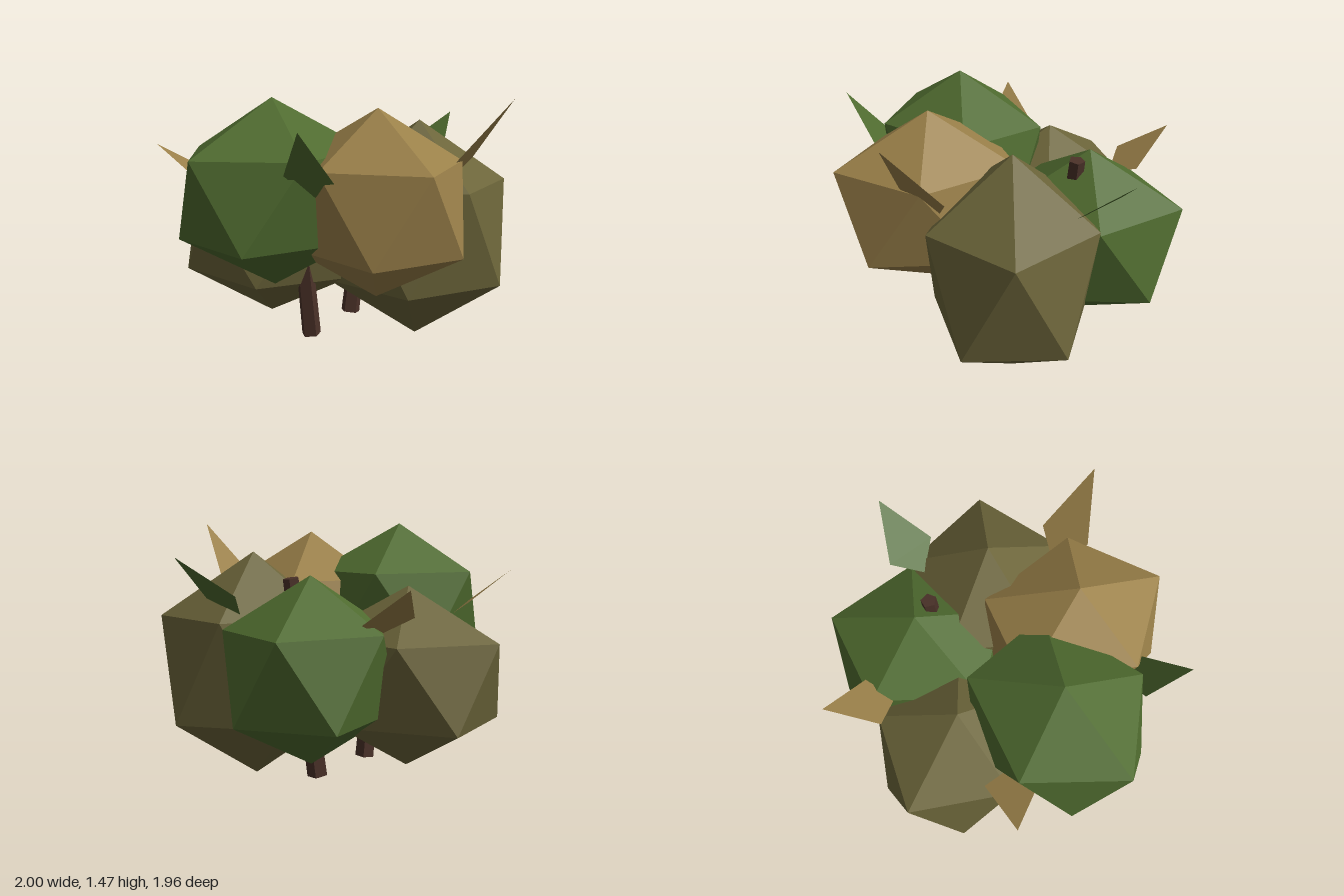
import * as THREE from 'three';

const paint = (color, extra = {}) => {
  const m = new THREE.MeshStandardMaterial({ flatShading: true, ...extra });
  m.color.set(color);
  return m;
};
const GREEN = 0x4f6b2f, OLIVE = 0x6c653a, TAN = 0x9a8049, BARK = 0x4a3128;

function flatGeometry(points, faces) {
  const g = new THREE.BufferGeometry();
  g.setAttribute('position', new THREE.Float32BufferAttribute(faces.flatMap((i) => points[i]), 3));
  g.computeVertexNormals();
  return g;
}

// Upright 20-sided clump, stretched sideways: a and b are two neighbouring
// corners (x, z) of its upper ring, and the other corners follow from them.
function clumpGeometry(h, a, b) {
  const ring = [a, b];
  const k = 2 * Math.cos((2 * Math.PI) / 5);
  for (let i = 2; i < 5; i++) ring.push([0, 1].map((c) => k * ring[i - 1][c] - ring[i - 2][c]));
  const y = h / Math.sqrt(5);
  const points = [[0, h, 0], [0, -h, 0]];
  for (const [x, z] of ring) points.push([x, y, z]);
  for (let i = 0; i < 5; i++) {
    const [x, z] = ring[(i + 3) % 5];
    points.push([-x, -y, -z]);
  }
  const faces = [];
  for (let i = 0; i < 5; i++) {
    const n = (i + 1) % 5;
    const u = 2 + i, un = 2 + n, l = 7 + i, ln = 7 + n;
    faces.push(0, u, un, u, l, un, un, l, ln, 1, ln, l);
  }
  return flatGeometry(points, faces);
}

// Flat pointed leaf: tip, two shoulders, and a base hidden in the foliage
function leafGeometry(tip, s1, s2) {
  const base = tip.map((t, i) => {
    const mid = (s1[i] + s2[i]) / 2;
    return mid - 0.45 * (t - mid);
  });
  return flatGeometry([tip, s1, base, s2], [0, 1, 3, 1, 2, 3]);
}

// Tapered five-sided stem between two points
function stem(from, to, r0, r1) {
  const a = new THREE.Vector3(...from), b = new THREE.Vector3(...to);
  const dir = b.clone().sub(a);
  const mesh = new THREE.Mesh(new THREE.CylinderGeometry(r1, r0, dir.length(), 5), paint(BARK));
  mesh.position.copy(a).add(b).multiplyScalar(0.5);
  mesh.quaternion.setFromUnitVectors(new THREE.Vector3(0, 1, 0), dir.normalize());
  return mesh;
}

export function createModel() {
  const model = new THREE.Group();
  model.name = 'bush';
  const add = (name, mesh) => {
    mesh.name = name;
    model.add(mesh);
  };

  // Foliage: name, colour, centre, half height, two ring corners
  const clumps = [
    ['frontClump', TAN, [-0.05, 0.91, 0.46], 0.51, [-0.05, 0.52], [0.41, 0.2]],
    ['rightClump', GREEN, [-0.48, 0.96, 0.105], 0.51, [-0.07, 0.46], [0.477, 0.174]],
    ['backLeftClump', GREEN, [0.32, 0.69, -0.33], 0.51, [-0.09, 0.49], [0.43, 0.17]],
    ['backRightClump', OLIVE, [-0.25, 0.62, -0.38], 0.51, [-0.01, 0.51], [0.45, 0.24]],
    ['leftClump', OLIVE, [0.44, 0.655, 0.19], 0.655, [-0.02, 0.47], [0.49, 0.21]],
  ];
  for (const [name, color, centre, h, a, b] of clumps) {
    const mesh = new THREE.Mesh(clumpGeometry(h, a, b), paint(color));
    mesh.position.set(...centre);
    add(name, mesh);
  }

  // Leaves: name, colour, tip, two shoulders
  const leaves = [
    ['frontLeaf', TAN, [0.5, 1.47, 0.88], [0.26, 1.15, 0.73], [0.5, 1.13, 0.58]],
    ['frontRightLeaf', GREEN, [-0.69, 1.36, 0.74], [-0.65, 1.13, 0.53], [-0.44, 1.09, 0.65]],
    ['leftLeaf', GREEN, [1.0, 1.3, -0.19], [0.78, 1.07, 0.0], [0.72, 1.1, -0.29]],
    ['backLeaf', TAN, [0.11, 1.16, -0.98], [0.22, 0.97, -0.71], [-0.06, 1.0, -0.75]],
    ['rightLeaf', TAN, [-0.93, 1.2, -0.41], [-0.63, 1.03, -0.43], [-0.77, 1.0, -0.2]],
  ];
  for (const [name, color, tip, s1, s2] of leaves) {
    add(name, new THREE.Mesh(leafGeometry(tip, s1, s2), paint(color, { side: THREE.DoubleSide })));
  }

  // Stems
  add('rightStem', stem([-0.195, 0.065, 0.01], [-0.3, 1.15, 0.01], 0.058, 0.045));
  add('leftStem', stem([0.218, 0.065, -0.195], [0.38, 1.18, -0.215], 0.06, 0.045));

  return model;
}
